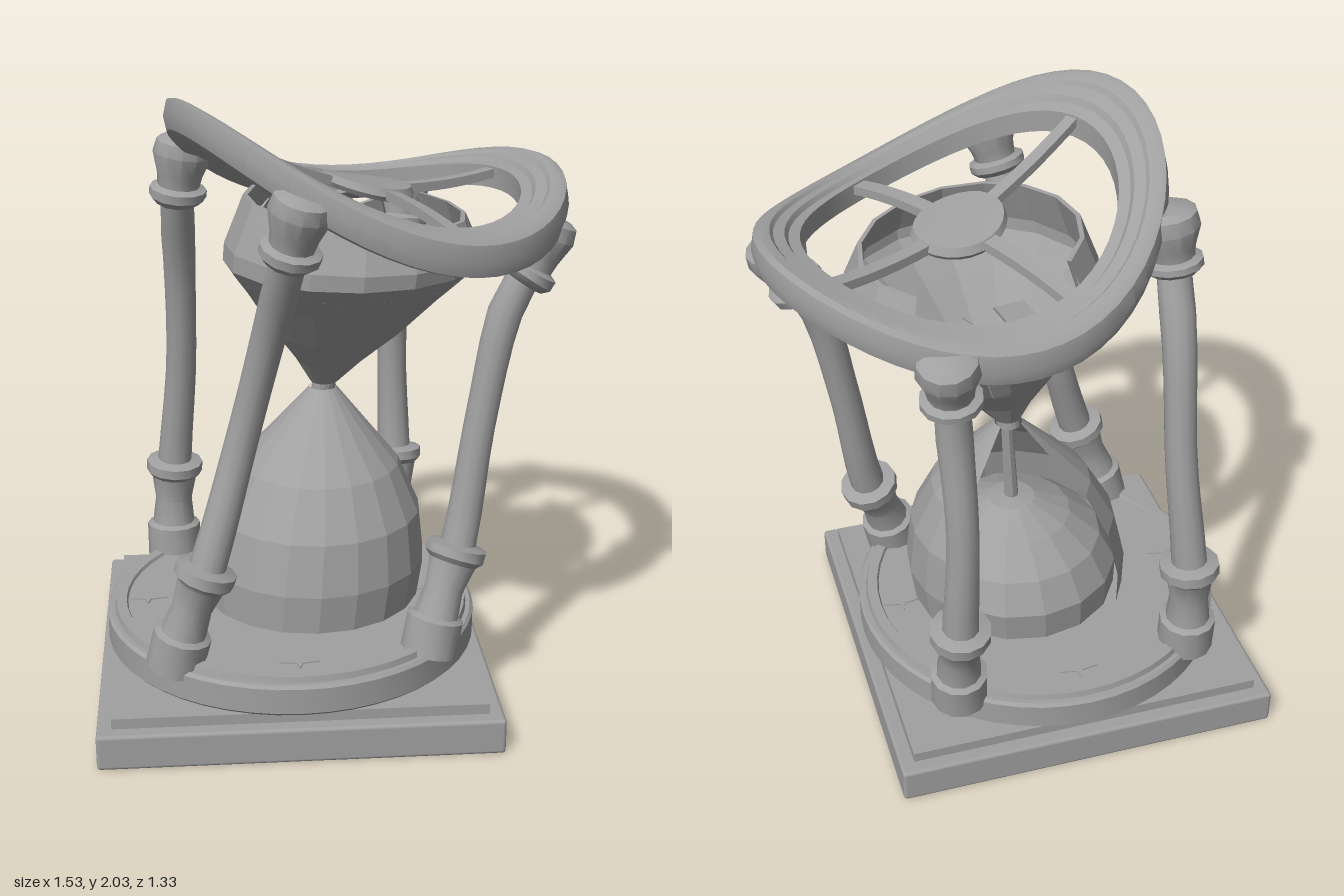
import * as THREE from 'three';
import { toCreasedNormals } from 'three/addons/utils/BufferGeometryUtils.js';
import { RoundedBoxGeometry } from 'three/addons/geometries/RoundedBoxGeometry.js';

const grey = new THREE.MeshStandardMaterial({ color: 0xa0a0a0, side: THREE.DoubleSide });
grey.name = 'stone grey';

const BASE = [-0.117, -0.01];   // centre of the base in x, z
const TOP = [0.132, 0.035];     // centre of the top wheel in x, z

const v2 = (pts) => pts.map(([x, y]) => new THREE.Vector2(x, y));

// Move every vertex of a geometry by a rule
function warp(geo, rule) {
  const p = geo.attributes.position, v = new THREE.Vector3();
  for (let i = 0; i < p.count; i++) {
    rule(v.fromBufferAttribute(p, i));
    p.setXYZ(i, v.x, v.y, v.z);
  }
  return geo;
}
const crease = (geo, angle = 0.5) => toCreasedNormals(geo, angle);

function flat(geo) {
  const g = geo.index ? geo.toNonIndexed() : geo;
  g.computeVertexNormals();
  return g;
}

// Saddle shape of the top wheel; v is relative to the wheel centre
function saddle(v) {
  const r = Math.hypot(v.x, v.z) / 0.6, a = Math.atan2(v.z, v.x);
  v.y += 1.79 + r * (-0.114 * Math.cos(a) + 0.051 * Math.sin(a))
    + r * r * (0.085 * Math.cos(2 * a) - 0.07 * Math.sin(2 * a));
  if (r < 1) v.y -= 0.03 * (1 - r);
  v.x += TOP[0];
  v.z += TOP[1];
}

// Centre line of the glass: y, x, z
const AXIS = [[0.25, -0.05, -0.02], [0.6, -0.025, -0.025], [1.02, 0, -0.06], [1.25, 0.045, -0.01], [1.5, 0.085, 0.035], [1.75, 0.1, 0.045]];
function bend(v) {
  let i = 0;
  while (i < AXIS.length - 2 && v.y > AXIS[i + 1][0]) i++;
  const [a, b] = [AXIS[i], AXIS[i + 1]], t = (v.y - a[0]) / (b[0] - a[0]);
  const lift = -0.1 * v.x * Math.max(0, (v.y - 1.5) / 0.16);
  v.x += a[1] + t * (b[1] - a[1]);
  v.z += a[2] + t * (b[2] - a[2]);
  v.y += lift;
}

// Lathe bent along the glass axis, with an optional gap centred on the back
function glass(pts, gap = 0, sides = 16) {
  const g = new THREE.LatheGeometry(v2(pts), sides, Math.PI + gap / 2, Math.PI * 2 - gap);
  return flat(warp(g, bend));
}

export function createModel() {
  const model = new THREE.Group();
  const add = (name, geo, parent = model) => {
    const m = new THREE.Mesh(geo, grey);
    m.name = name;
    parent.add(m);
    return m;
  };

  // Square plinth and round base
  add('plinth', new RoundedBoxGeometry(1.296, 0.12, 1.296, 2, 0.012)).position.set(BASE[0], 0.06, BASE[1]);
  add('plinthStep', new THREE.BoxGeometry(1.2, 0.04, 1.2)).position.set(BASE[0], 0.135, BASE[1]);
  add('roundBase', crease(new THREE.LatheGeometry(v2([
    [0, 0.155], [0.62, 0.155], [0.63, 0.165], [0.63, 0.25], [0.62, 0.26], [0.605, 0.26],
    [0.6, 0.28], [0.565, 0.28], [0.56, 0.27], [0, 0.27]]), 48))).position.set(BASE[0], 0, BASE[1]);
  add('glassFoot', new THREE.CylinderGeometry(0.2, 0.2, 0.04, 24)).position.set(-0.06, 0.29, -0.02);

  // Four-pointed stars on the base
  const starShape = new THREE.Shape();
  for (let i = 0; i < 8; i++) {
    const r = i % 2 ? 0.014 : (i % 4 ? 0.04 : 0.065), a = i * Math.PI / 4;
    starShape[i ? 'lineTo' : 'moveTo'](r * Math.cos(a), r * Math.sin(a));
  }
  const starGeo = new THREE.ExtrudeGeometry(starShape, { depth: 0.006, bevelEnabled: false }).rotateX(-Math.PI / 2);
  for (let i = 0; i < 4; i++) {
    const a = i * Math.PI / 2;
    add('star', starGeo).position.set(BASE[0] + 0.49 * Math.cos(a), 0.268, BASE[1] + 0.49 * Math.sin(a));
  }

  // Leaning pillars, each following its own bent path
  const paths = [
    [[0.31, 0.24, 0.38], [0.34, 0.38, 0.36], [0.415, 0.6, 0.3], [0.48, 1.0, 0.26], [0.56, 1.38, 0.24], [0.63, 1.5, 0.23], [0.69, 1.65, 0.22]],
    [[0.29, 0.24, -0.47], [0.295, 0.38, -0.49], [0.3, 0.6, -0.54], [0.29, 1.0, -0.55], [0.3, 1.35, -0.51], [0.31, 1.5, -0.52], [0.33, 1.65, -0.56]],
    [[-0.52, 0.24, -0.44], [-0.52, 0.38, -0.45], [-0.51, 0.6, -0.45], [-0.475, 1.0, -0.4], [-0.47, 1.4, -0.33], [-0.47, 1.61, -0.25], [-0.44, 1.83, -0.23]],
    [[-0.515, 0.24, 0.41], [-0.48, 0.38, 0.42], [-0.4, 0.6, 0.425], [-0.285, 1.0, 0.37], [-0.19, 1.4, 0.44], [-0.15, 1.6, 0.54], [-0.1, 1.82, 0.59]],
  ];
  const up = new THREE.Vector3(0, 1, 0), q = new THREE.Quaternion();
  for (const path of paths) {
    const curve = new THREE.CatmullRomCurve3(path.map((p) => new THREE.Vector3(...p)));
    const len = curve.getLength();
    // Heights near the foot run from the start, those near the head from the end
    const profile = [[0, 0], [0.095, 0], [0.095, 0.12], [0.075, 0.13], [0.065, 0.22], [0.08, 0.31], [0.1, 0.33], [0.1, 0.365], [0.06, 0.375]];
    for (let i = 1; i < 9; i++) profile.push([0.06 - 0.008 * Math.sin(i * Math.PI / 9), 0.375 + (len - 0.61) * i / 9]);
    profile.push([0.055, len - 0.225], [0.075, len - 0.22], [0.095, len - 0.2], [0.095, len - 0.175], [0.07, len - 0.165],
      [0.075, len - 0.13], [0.098, len - 0.06], [0.09, len - 0.015], [0.065, len], [0, len]);
    const geo = new THREE.LatheGeometry(v2(profile), 12);
    warp(geo, (v) => {
      const t = THREE.MathUtils.clamp(v.y / len, 0, 1);
      q.setFromUnitVectors(up, curve.getTangentAt(t));
      v.y = 0;
      v.applyQuaternion(q).add(curve.getPointAt(t));
    });
    add('pillar', crease(geo, 0.6));
  }

  // Warped top wheel: grooved rim, four spokes and hub
  const wheel = new THREE.Group();
  wheel.name = 'topWheel';
  model.add(wheel);
  add('rim', crease(warp(new THREE.LatheGeometry(v2([
    [0.485, -0.1], [0.6, -0.12], [0.625, -0.105], [0.635, -0.06], [0.625, -0.01], [0.605, 0], [0.575, 0], [0.565, -0.012],
    [0.53, -0.012], [0.52, -0.028], [0.485, -0.028], [0.485, -0.1]]), 56), saddle)), wheel);
  for (let i = 0; i < 4; i++) {
    const spoke = new THREE.BoxGeometry(0.4, 0.03, 0.045, 8, 1, 1).translate(0.31, -0.05, 0);
    add('spoke', crease(warp(spoke.rotateY(0.47 + i * Math.PI / 2), saddle)), wheel);
  }
  add('hub', crease(warp(new THREE.LatheGeometry(v2([
    [0, -0.07], [0.14, -0.07], [0.15, -0.055], [0.14, -0.03], [0, -0.02]]), 24), saddle)), wheel);

  // Broken glass: lower bulb open at the back, upper bulb open on top
  add('lowerBulb', glass([[0.37, 0.3], [0.38, 0.43], [0.35, 0.6], [0.27, 0.76], [0.12, 0.93], [0.045, 1.015]], 1.8, 14));
  add('neckRing', glass([[0.04, 1.005], [0.04, 1.045]]));
  add('upperBulb', glass([[0.045, 1.035], [0.11, 1.12], [0.21, 1.23], [0.31, 1.36], [0.37, 1.43]]));
  add('upperShoulder', glass([[0.37, 1.43], [0.41, 1.48], [0.41, 1.53], [0.355, 1.66], [0.34, 1.66], [0.39, 1.53]], 1.5, 12));

  // Sand heap and falling stream
  add('sandHeap', glass([[0, 0.31], [0.34, 0.31], [0.35, 0.42], [0.3, 0.53], [0.2, 0.62], [0.08, 0.68], [0, 0.69]]));
  add('sandStream', glass([[0.025, 0.66], [0.018, 1.05]], 0, 8));

  // Loose shards behind the break: position, size, rotation
  const shards = [
    [[0.2, 1.53, -0.36], [0.11, 0.15], [0.5, -0.4, 0.4]],
    [[0.05, 1.6, -0.33], [0.12, 0.1], [0.9, 0.2, -0.3]],
    [[0.2, 1.18, -0.24], [0.06, 0.16], [0.1, 0.7, 0.15]],
    [[0.1, 1.34, -0.29], [0.08, 0.18], [-0.2, 0.4, -0.2]],
    [[-0.2, 1.55, -0.2], [0.1, 0.13], [0.3, 0.9, 0.2]],
  ];
  for (const [pos, [w, h], rot] of shards) {
    const s = new THREE.Shape(v2([[-w / 2, -h / 2], [w / 3, -h / 3], [w / 2, h / 2], [-w / 3, h / 3]]));
    const m = add('shard', new THREE.ExtrudeGeometry(s, { depth: 0.014, bevelEnabled: false }));
    m.position.set(...pos);
    m.rotation.set(...rot);
  }
  return model;
}
